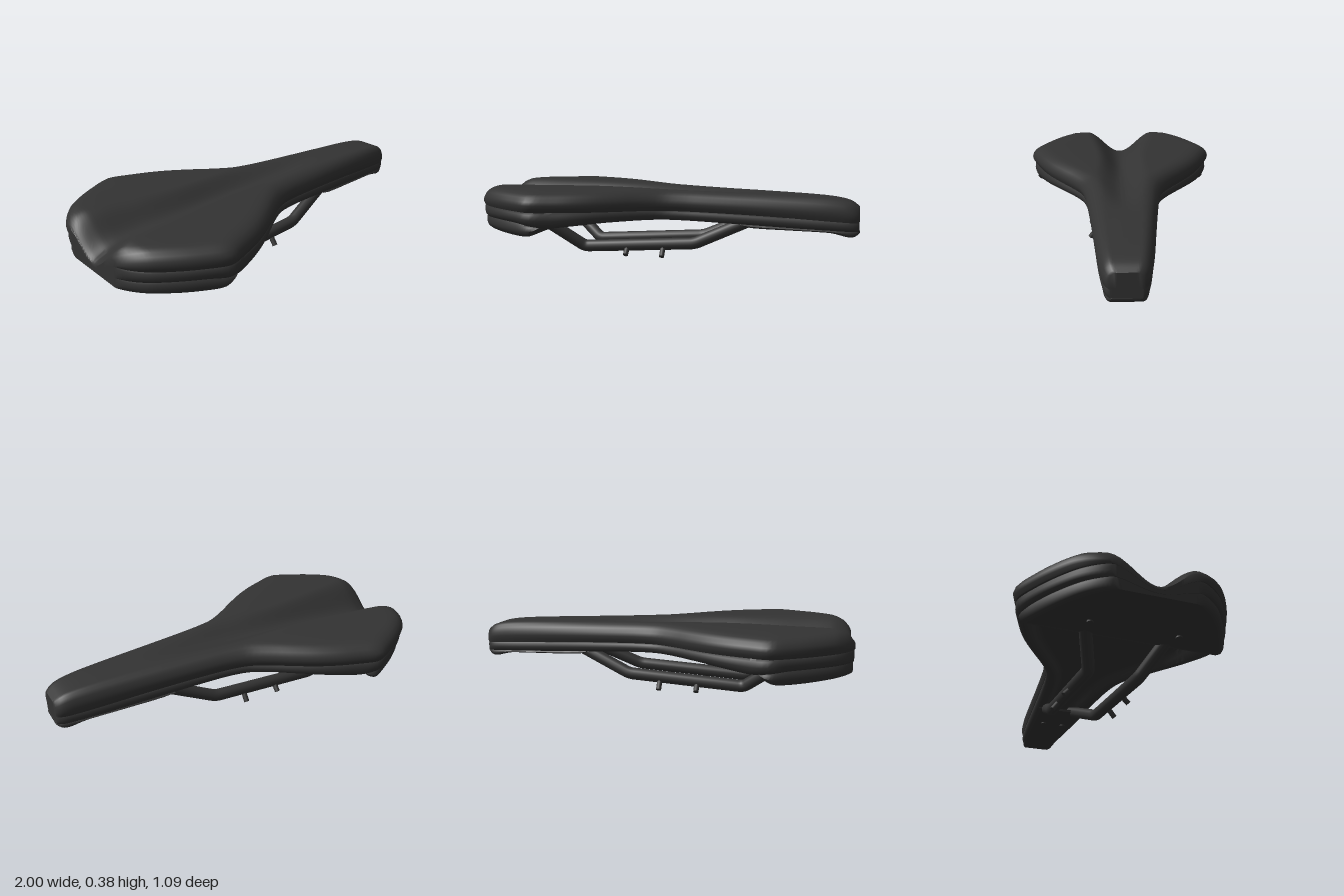
import * as THREE from 'three';
import { toCreasedNormals } from 'three/addons/utils/BufferGeometryUtils.js';

// Smooth curve through [x, value] pairs
function curve(pts) {
  const slope = (i) => {
    const a = pts[Math.max(0, i - 1)], b = pts[Math.min(pts.length - 1, i + 1)];
    return (b[1] - a[1]) / (b[0] - a[0]);
  };
  return (x) => {
    let i = 0;
    while (i < pts.length - 2 && x > pts[i + 1][0]) i++;
    const [x0, y0] = pts[i], [x1, y1] = pts[i + 1], h = x1 - x0;
    const t = Math.min(1, Math.max(0, (x - x0) / h)), t2 = t * t, t3 = t2 * t;
    return (2 * t3 - 3 * t2 + 1) * y0 + (t3 - 2 * t2 + t) * h * slope(i)
      + (3 * t2 - 2 * t3) * y1 + (t3 - t2) * h * slope(i + 1);
  };
}
const smooth = THREE.MathUtils.smoothstep;

// Plan outline (half width) and heights along the length
const halfWidth = curve([[-1, 0.225], [-0.985, 0.265], [-0.95, 0.32], [-0.9, 0.373], [-0.8, 0.446], [-0.7, 0.504],
  [-0.62, 0.541], [-0.58, 0.541], [-0.5, 0.512], [-0.4, 0.472], [-0.3, 0.42], [-0.2, 0.355], [-0.1, 0.285],
  [0, 0.228], [0.1, 0.201], [0.2, 0.187], [0.4, 0.166], [0.6, 0.147], [0.8, 0.128], [0.9, 0.115],
  [0.95, 0.106], [0.98, 0.094], [1, 0.076]]);
const topY = curve([[-1, 0.325], [-0.98, 0.345], [-0.95, 0.363], [-0.9, 0.376], [-0.7, 0.377], [-0.3, 0.375],
  [0, 0.368], [0.3, 0.357], [0.6, 0.347], [0.8, 0.338], [0.9, 0.328], [0.96, 0.312], [1, 0.285]]);
const seamY = curve([[-1, 0.278], [-0.5, 0.272], [0, 0.262], [0.5, 0.243], [1, 0.212]]);
const rimY = curve([[-1, 0.216], [-0.7, 0.213], [-0.6, 0.202], [-0.52, 0.192], [-0.4, 0.201], [-0.25, 0.212], [0, 0.213],
  [0.4, 0.195], [0.7, 0.18], [1, 0.167]]);

// Central channel: depth and half width along the length
const grooveDepth = curve([[-1, 0.122], [-0.95, 0.132], [-0.85, 0.118], [-0.6, 0.09], [-0.3, 0.07], [0, 0.05], [0.2, 0.03], [0.38, 0.008], [0.5, 0], [1, 0]]);
const grooveWidth = curve([[-1, 0.225], [-0.8, 0.2], [-0.6, 0.165], [-0.4, 0.14], [-0.2, 0.14], [0, 0.145], [0.2, 0.12], [0.5, 0.09], [1, 0.09]]);
const seamDip = curve([[-1, 0.088], [-0.8, 0.045], [-0.6, 0.012], [-0.5, 0], [1, 0]]);
const valley = (x, z) => {
  const r = Math.min(1, Math.abs(z) / grooveWidth(x));
  return (1 + Math.cos(Math.PI * r)) / 2;
};
const coverTop = (x, z) => {
  const w = halfWidth(x), k = (Math.abs(z) - 0.5 * w) / (0.5 * w);
  return topY(x) - (k > 0 ? 0.012 * k * k : 0) - grooveDepth(x) * valley(x, z);
};
const seam = (x, z) => seamY(x) - seamDip(x) * valley(x, z);
const rim = (x, z) => rimY(x) - 0.5 * seamDip(x) * valley(x, z);

// Loft along x; edge = [inset, height fraction] from the lower rim up to the top surface
function loft({ from, to, steps, half, hi, lo, edge }) {
  const pos = [], idx = [], inner = 48;
  let n = 0;
  for (let s = 0; s <= steps; s++) {
    const t = s / steps;
    // stations gather towards both ends
    const x = THREE.MathUtils.lerp(from, to, 0.4 * t + 0.6 * (1 - Math.cos(Math.PI * t)) / 2);
    const w = half(x), k = Math.min(1, w / 0.23);
    const rimZ = w - edge[0][0] * k, last = w - edge[edge.length - 1][0] * k;
    const side = edge.map(([inset, f]) => [w - inset * k, f]);
    const row = side.map(([z, f]) => [-z, f]);
    for (let i = 1; i < inner; i++) row.push([last * (2 * i / inner - 1), 1]);
    row.push(...side.reverse());
    n = row.length;
    const base = lo(x, rimZ);
    const ring = row.map(([z, f]) => [x, base + f * (hi(x, z) - base), z]);
    for (const [z] of row.slice().reverse()) {
      const zb = THREE.MathUtils.clamp(z, -rimZ, rimZ);
      ring.push([x, lo(x, zb), zb]);
    }
    ring.forEach((p) => pos.push(...p));
  }
  const m = 2 * n;
  for (let s = 0; s < steps; s++) {
    for (let j = 0; j < m; j++) {
      const a = s * m + j, b = s * m + (j + 1) % m;
      idx.push(a, b, a + m, b, b + m, a + m);
    }
  }
  // end caps join upper and lower outlines
  for (let j = 0; j < n - 1; j++) {
    const u = j, v = j + 1, p = m - 1 - j, q = m - 2 - j, e = steps * m;
    idx.push(u, p, v, v, p, q, e + u, e + v, e + p, e + v, e + q, e + p);
  }
  const g = new THREE.BufferGeometry();
  g.setAttribute('position', new THREE.Float32BufferAttribute(pos, 3));
  g.setIndex(idx);
  return toCreasedNormals(g, 0.9);
}

export function createModel() {
  const group = new THREE.Group();
  const black = new THREE.MeshStandardMaterial({ color: 0x333333 });
  black.name = 'charcoal';
  const add = (name, geometry) => {
    const mesh = new THREE.Mesh(geometry, black);
    mesh.name = name;
    group.add(mesh);
    return mesh;
  };

  // Padded cover with channel
  add('cover', loft({ from: -1, to: 0.997, steps: 90, half: halfWidth, hi: coverTop, lo: seam,
    edge: [[0.016, 0], [0.004, 0.2], [0, 0.4], [0.006, 0.6], [0.022, 0.8], [0.045, 0.93], [0.075, 0.99], [0.1, 1]] }));

  // Shell under the cover, hollow beneath
  const hollow = (x, z) => (seamY(x) - 0.008 - rimY(x)) * smooth(halfWidth(x) - Math.abs(z), 0.06, 0.11)
    * smooth(x, -0.9, -0.75) * (1 - smooth(x, 0.5, 0.7));
  const shellEdge = [[0.035, 0], [0.02, 0.15], [0.013, 0.45], [0.016, 0.8], [0.03, 1]];
  add('shell', loft({ from: -0.998, to: 0.997, steps: 80, half: halfWidth,
    hi: (x, z) => seam(x, z) + 0.003, lo: (x, z) => rim(x, z) + hollow(x, z), edge: shellEdge }));

  // Rear and nose mounting plates
  const plateEdge = [[0.06, 0], [0.04, 0.15], [0.028, 0.45], [0.033, 0.8], [0.045, 1]];
  const rearLow = curve([[-1, 0.157], [-0.9, 0.15], [-0.75, 0.143], [-0.65, 0.143], [-0.61, 0.15], [-0.58, 0.166], [-0.555, 0.192]]);
  add('rearPlate', loft({ from: -0.995, to: -0.555, steps: 30, half: halfWidth,
    hi: (x, z) => rim(x, z) + 0.004, lo: rearLow, edge: plateEdge }));
  const noseLow = curve([[0.4, 0.186], [0.46, 0.174], [0.65, 0.167], [0.85, 0.16], [0.9, 0.15], [0.94, 0.14], [0.975, 0.141], [1, 0.16]]);
  add('nosePlate', loft({ from: 0.4, to: 1, steps: 30, half: halfWidth,
    hi: (x, z) => rim(x, z) + 0.004, lo: noseLow, edge: plateEdge }));

  for (const side of [1, -1]) {
    // Bent rail with tight corners
    const V = (x, y, z) => new THREE.Vector3(x, y, z * side);
    const corners = [V(-0.67, 0.205, 0.225), V(-0.455, 0.042, 0.13), V(0.16, 0.083, 0.13), V(0.46, 0.215, 0.08)];
    const path = new THREE.CurvePath();
    let at = corners[0];
    for (let i = 1; i < 3; i++) {
      const c = corners[i];
      const before = c.clone().add(corners[i - 1].clone().sub(c).setLength(0.025));
      const after = c.clone().add(corners[i + 1].clone().sub(c).setLength(0.025));
      path.add(new THREE.LineCurve3(at, before));
      path.add(new THREE.QuadraticBezierCurve3(before, c, after));
      at = after;
    }
    path.add(new THREE.LineCurve3(at, corners[3]));
    add('rail', new THREE.TubeGeometry(path, 110, 0.032, 16, false));

    // Small pegs pointing down and outward
    for (const [x, y] of [[-0.21, 0.06], [-0.01, 0.073]]) {
      const start = V(x, y, 0.129), tip = V(x, 0.011, 0.176);
      const dir = tip.clone().sub(start);
      const peg = add('railPeg', new THREE.CylinderGeometry(0.014, 0.014, dir.length(), 12));
      peg.position.copy(start).lerp(tip, 0.5);
      peg.quaternion.setFromUnitVectors(new THREE.Vector3(0, 1, 0), dir.normalize());
    }

    // Plate screws
    for (const [x, y, z] of [[-0.73, 0.142, 0.22], [0.58, 0.17, 0.06]]) {
      add('plateScrew', new THREE.CylinderGeometry(0.016, 0.016, 0.014, 12)).position.set(x, y, z * side);
    }
  }
  return group;
}
